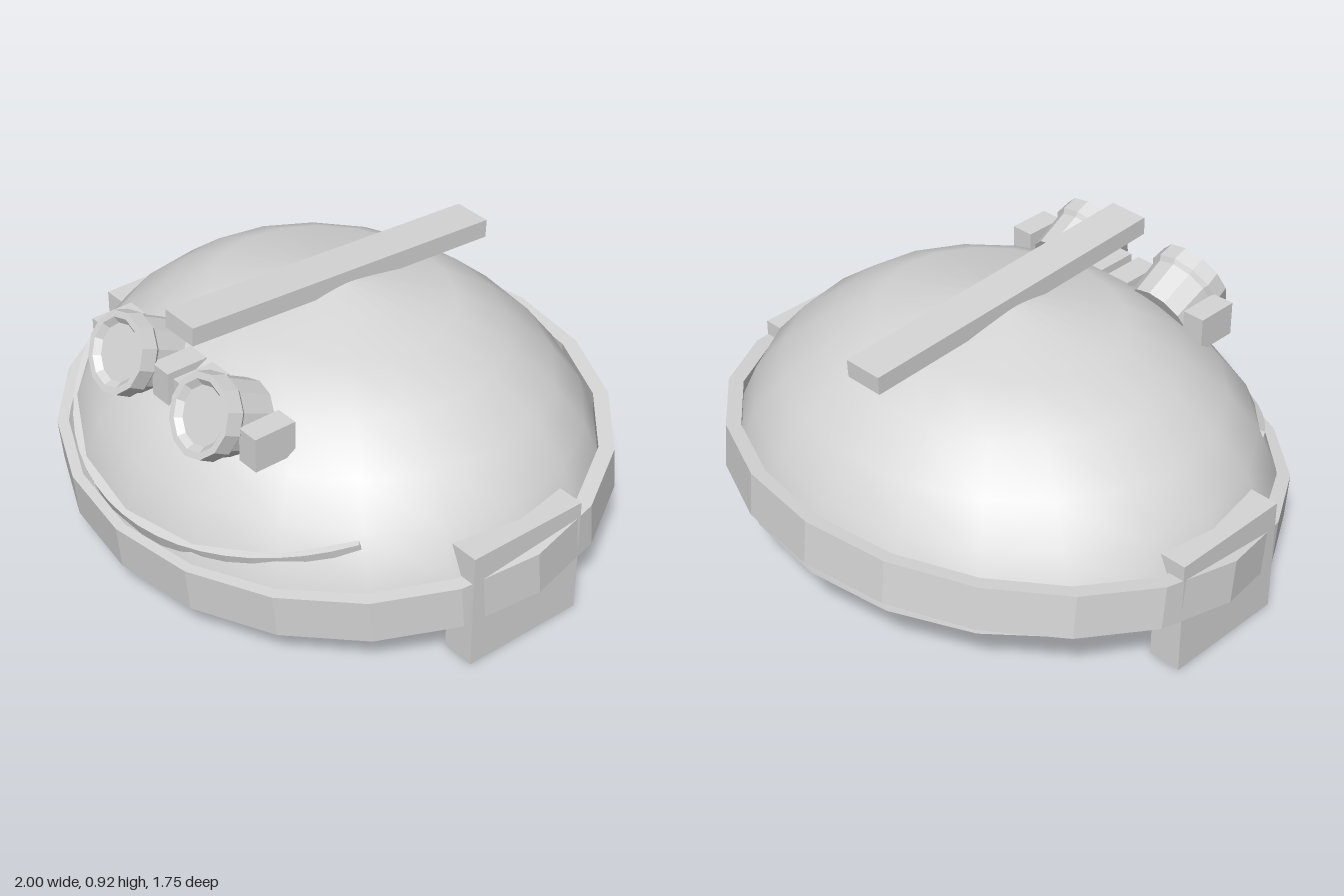
import * as THREE from 'three';

const grey = new THREE.MeshStandardMaterial({ color: 0xd6d6d6, side: THREE.DoubleSide });
grey.name = 'light grey';

const profile = (pts) => pts.map(([r, y]) => new THREE.Vector2(r, y));

// Sharp facets without changing the material
function faceted(geometry) {
  const g = geometry.index ? geometry.toNonIndexed() : geometry;
  g.computeVertexNormals();
  return g;
}

export function createModel() {
  const model = new THREE.Group();
  model.name = 'domedHelmet';

  function add(name, geometry, x = 0, y = 0, z = 0, tilt = 0) {
    const mesh = new THREE.Mesh(geometry, grey);
    mesh.name = name;
    mesh.position.set(x, y, z);
    mesh.rotation.x = tilt;
    model.add(mesh);
    return mesh;
  }
  const box = (w, h, d) => new THREE.BoxGeometry(w, h, d);

  // Smooth oval dome: outer skin, inner skin and the rim joining them
  const skin = [
    [0.972, 0.21], [0.952, 0.31], [0.885, 0.455], [0.775, 0.58],
    [0.615, 0.7], [0.43, 0.79], [0, 0.86],
  ];
  const lining = skin.map(([r, y]) => [r * 0.966, 0.21 + (y - 0.21) * 0.955]);
  const shells = [
    ['domeOuter', skin],
    ['domeLining', lining.slice().reverse()],
    ['domeRim', [lining[0], skin[0]]],
  ];
  for (const [name, pts] of shells) {
    add(name, new THREE.LatheGeometry(profile(pts), 20)).scale.z = 0.873;
  }

  // Tilted faceted band round the rim
  const band = add('rimBand', faceted(new THREE.LatheGeometry(profile([
    [0.945, -0.078], [1, -0.078], [1, 0.078], [0.945, 0.078], [0.945, -0.078],
  ]), 20)), 0, 0.258, 0, 0.097);
  band.scale.z = 0.871;

  // Bar along the crown
  add('crownBar', box(0.14, 0.063, 1.2), 0, 0.859, 0, -0.05);

  // Curved strip across the front, sunk into the dome
  const a = 0.873, b = 0.905, width = 0.035;
  const t0 = Math.PI / 2 - 0.97, t1 = Math.PI / 2 + 0.97;
  const arc = new THREE.Shape();
  arc.absellipse(0, 0, a, b, t0, t1, false, 0);
  arc.absellipse(0, 0, a - width, b - width, t1, t0, true, 0);
  add('frontStrip', new THREE.ExtrudeGeometry(arc, {
    depth: 0.1, bevelEnabled: false, curveSegments: 10,
  }), 0, 0.612, 0, Math.PI / 2 + 0.35);

  // Goggle eyepiece with flared rim and recessed lens, along +y
  const eyepiece = faceted(new THREE.LatheGeometry(profile([
    [0, -0.2], [0.12, -0.2], [0.127, -0.07], [0.139, -0.055],
    [0.134, 0], [0.112, 0], [0.094, -0.02], [0, -0.02],
  ]), 12));

  for (const [side, s] of [['left', 1], ['right', -1]]) {
    add(side + 'Eyepiece', eyepiece, s * 0.22, 0.727, 0.695, 1.14);
    add(side + 'OuterHinge', box(0.08, 0.118, 0.15), s * 0.388, 0.668, 0.565);
    add(side + 'InnerHinge', box(0.085, 0.118, 0.15), s * 0.058, 0.668, 0.565);
    add(side + 'SideBlock', box(0.115, 0.41, 0.44), s * 0.907, 0.205, 0.02);
  }
  return model;
}
